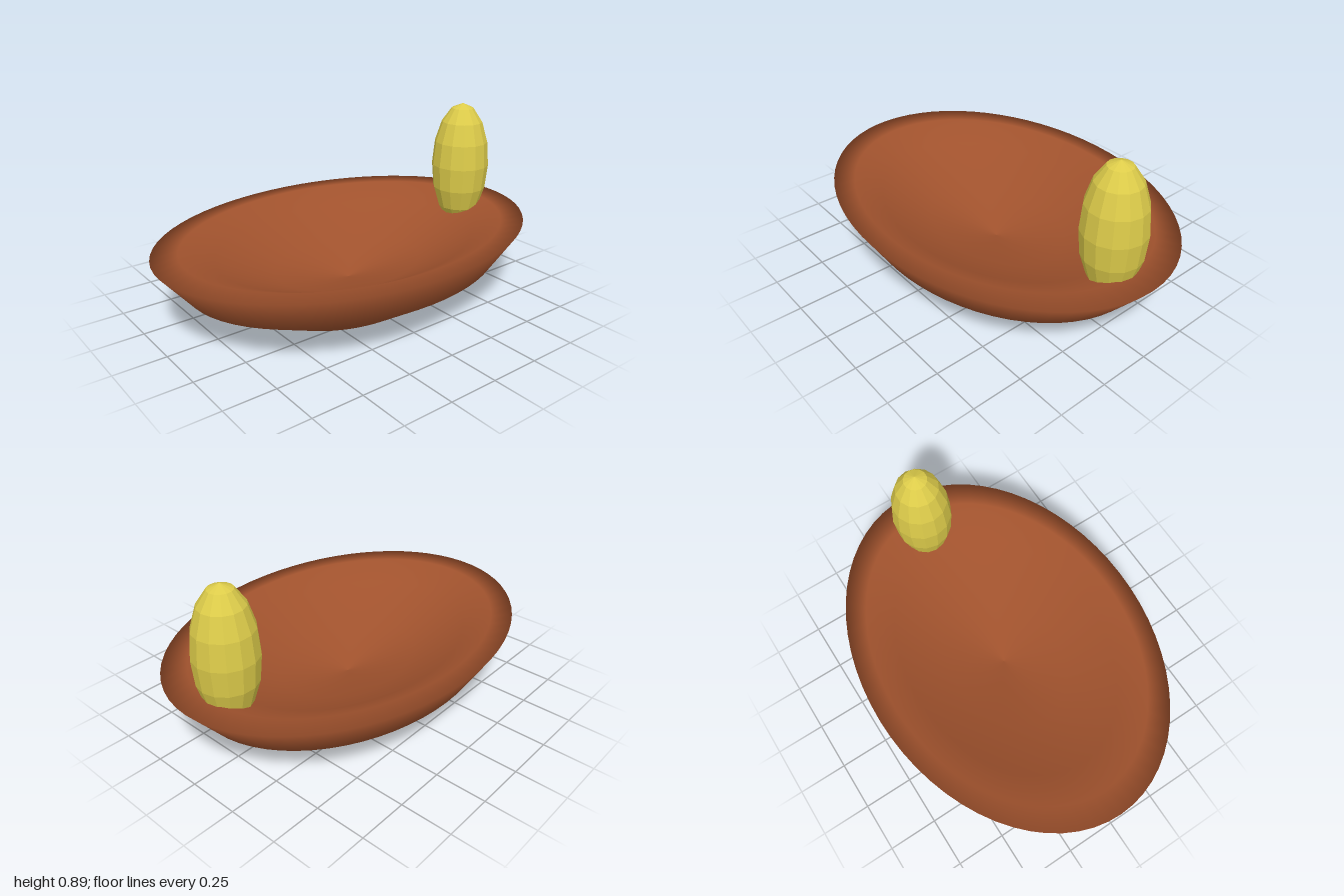
import * as THREE from 'three';

const DEPTH = 0.72; // oval ratio of the dish

export function createModel() {
  const model = new THREE.Group();
  model.name = 'ovalDishWithFruit';

  const clay = new THREE.MeshStandardMaterial({ color: 0xa0522d });
  clay.name = 'clay brown';
  const yellow = new THREE.MeshStandardMaterial({ color: 0xddcc4a, flatShading: true });
  yellow.name = 'fruit yellow';

  // Dish: base, flared outer wall, flat rim and shallow hollow, turned and squashed to an oval
  const profile = [
    [0, 0], [0.46, 0], [0.85, 0.19], [1, 0.37],
    [0.87, 0.37], [0.7, 0.3], [0.4, 0.18], [0, 0.1],
  ].map(([r, y]) => new THREE.Vector2(r, y));
  const dishShape = new THREE.LatheGeometry(profile, 64);
  dishShape.scale(1, 1, DEPTH);
  const dish = new THREE.Mesh(dishShape, clay);
  dish.name = 'dish';
  model.add(dish);

  // Faceted upright fruit sunk into one end of the dish
  const fruit = new THREE.Mesh(new THREE.SphereGeometry(0.152, 14, 8), yellow);
  fruit.name = 'fruit';
  fruit.scale.y = 0.333 / 0.152;
  fruit.position.set(0.767, 0.56, 0);
  model.add(fruit);

  return model;
}
